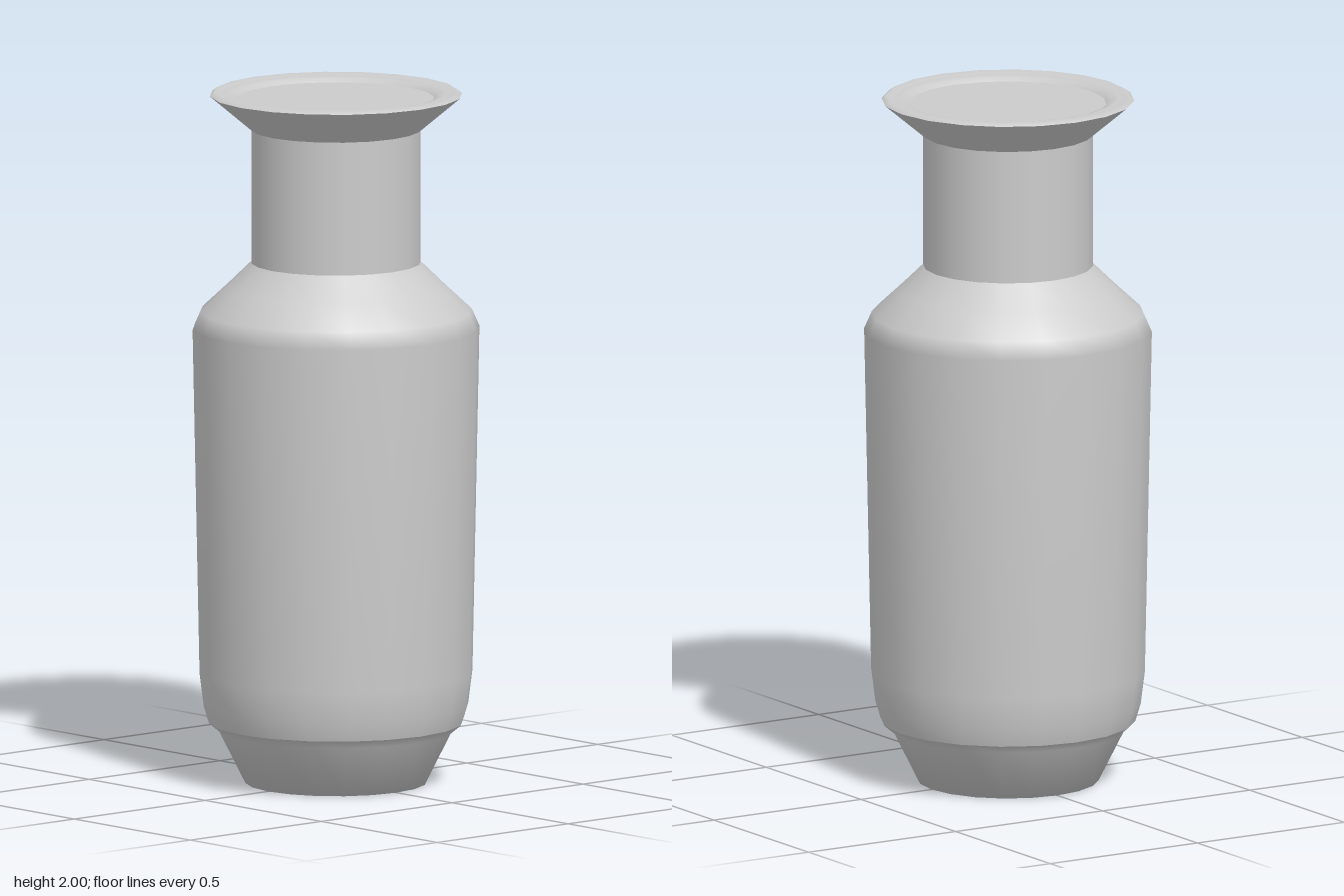
import * as THREE from 'three';

const SIDES = 20;

export function createModel() {
  const vase = new THREE.Group();
  vase.name = 'vase';
  const material = new THREE.MeshStandardMaterial({ color: 0xcccccc, side: THREE.DoubleSide });

  // Each section is a turned profile of [radius, height] running upward along the outside;
  // normals are smooth within a section and sharp between sections.
  const turn = (name, profile) => {
    const points = profile.map(([r, y]) => new THREE.Vector2(r, y));
    const mesh = new THREE.Mesh(new THREE.LatheGeometry(points, SIDES), material);
    mesh.name = name;
    vase.add(mesh);
  };

  // Tapered foot with its closed underside
  turn('foot', [[0, 0.005], [0.26, 0], [0.335, 0.15], [0.365, 0.175]]);

  // Body, slightly wider toward the top, curving into the shoulder
  turn('body', [
    [0.365, 0.175], [0.38, 0.225], [0.392, 0.32], [0.412, 1.315],
    [0.39, 1.365], [0.315, 1.435], [0.243, 1.505],
  ]);

  // Straight neck
  turn('neck', [[0.243, 1.505], [0.243, 1.89]]);

  // Flared mouth
  turn('flare', [[0.243, 1.89], [0.362, 1.99]]);

  // Rounded lip with a fine groove
  turn('lip', [
    [0.362, 1.99], [0.348, 2], [0.338, 1.99], [0.318, 1.995], [0.295, 1.99], [0.282, 1.98],
  ]);

  // Flat surface closing the mouth
  turn('mouthDisc', [[0.282, 1.98], [0, 1.98]]);

  return vase;
}
